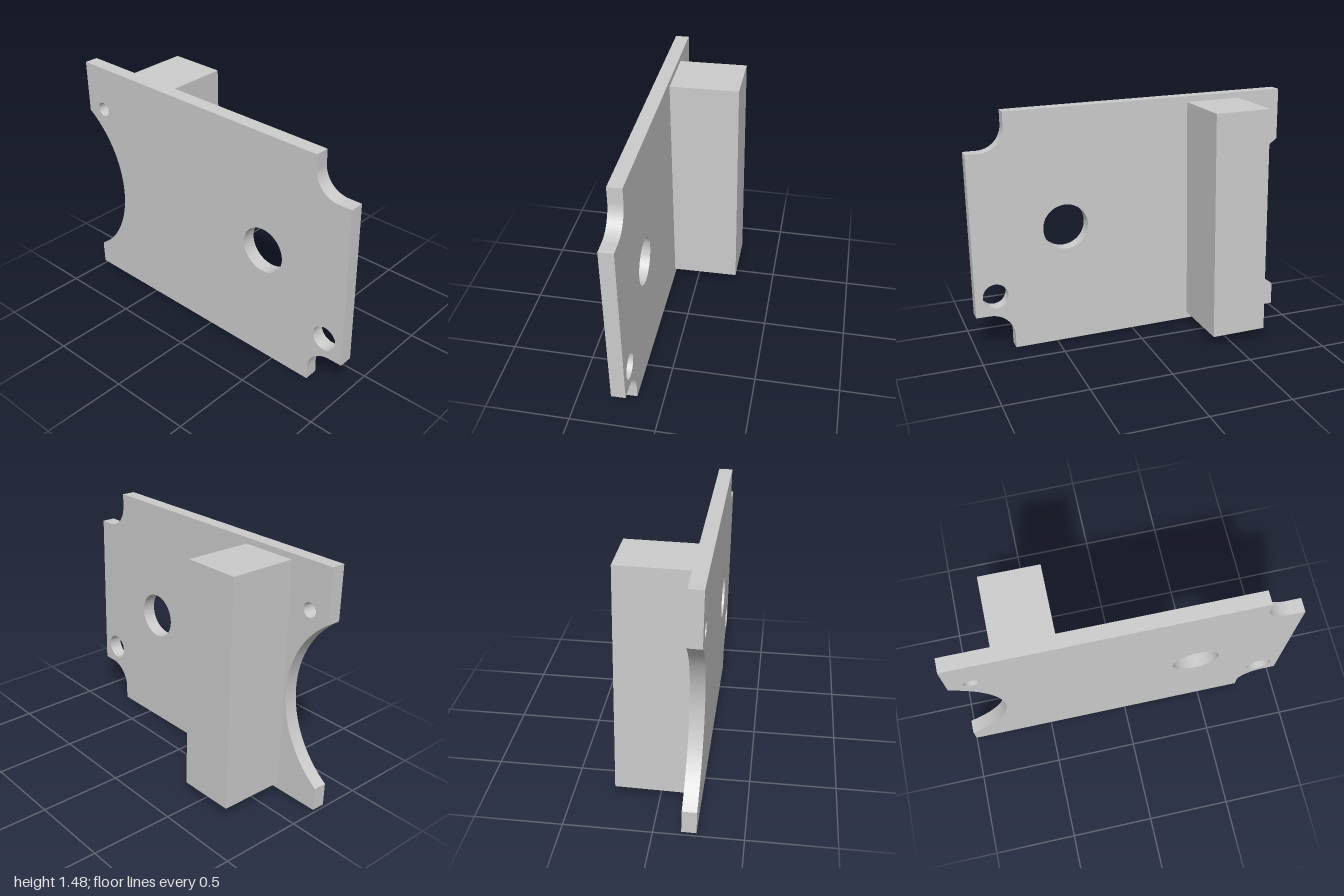
import * as THREE from 'three';

const TILT = 0.0155; // slight lean of the whole part
const THICK = 0.083;
const PLATE_X = -0.24;

function shapeFrom(points) {
  return new THREE.Shape(points.map(([u, v]) => new THREE.Vector2(u, v)));
}

// Extrudes a side profile (u = -z, v = y) along +x, starting at x
function sideExtrude(name, shape, x, depth) {
  const geo = new THREE.ExtrudeGeometry(shape, { depth, bevelEnabled: false, curveSegments: 48 });
  geo.rotateY(Math.PI / 2);
  geo.translate(x, 0, 0);
  const mesh = new THREE.Mesh(geo, new THREE.MeshStandardMaterial({ color: 0xcccccc }));
  mesh.name = name;
  return mesh;
}

function plateShape() {
  const s = new THREE.Shape();
  s.moveTo(-0.763, 0);
  s.lineTo(1.0, 0.02);
  s.lineTo(1.0, 0.16);
  // large round cut in the back edge
  const cu = 1.334, cv = 0.665;
  s.absarc(cu, cv, 0.604, Math.atan2(0.16 - cv, 1.0 - cu), Math.atan2(1.16 - cv, 0.99 - cu), true);
  s.lineTo(0.988, 1.478);
  s.lineTo(-0.775, 1.46);
  // rounded corner notches
  s.absarc(-0.92, 1.375, 0.145, 0, -Math.PI / 2, true);
  s.lineTo(-1, 1.23);
  s.lineTo(-0.996, 0.23);
  s.absarc(-0.913, 0.08, 0.15, Math.PI / 2, 0, true);
  s.closePath();
  // through holes: u, v, radius
  for (const [u, v, r] of [[-0.425, 0.737, 0.139], [-0.872, 0.352, 0.077], [0.857, 1.203, 0.043]]) {
    s.holes.push(new THREE.Path().absarc(u, v, r, 0, Math.PI * 2, true));
  }
  return s;
}

export function createModel() {
  const model = new THREE.Group();
  model.name = 'bracketPlate';

  const body = new THREE.Group();
  body.name = 'tiltedBody';
  body.rotation.z = TILT;
  body.position.y = 0.0037;
  model.add(body);

  // flat plate with holes and cutouts
  body.add(sideExtrude('plate', plateShape(), PLATE_X, THICK));

  // solid upright bar standing off the plate
  const bar = shapeFrom([[0.375, 0.052], [0.718, 0.056], [0.707, 1.44], [0.364, 1.436]]);
  body.add(sideExtrude('uprightBar', bar, PLATE_X + THICK, 0.414));

  return model;
}
